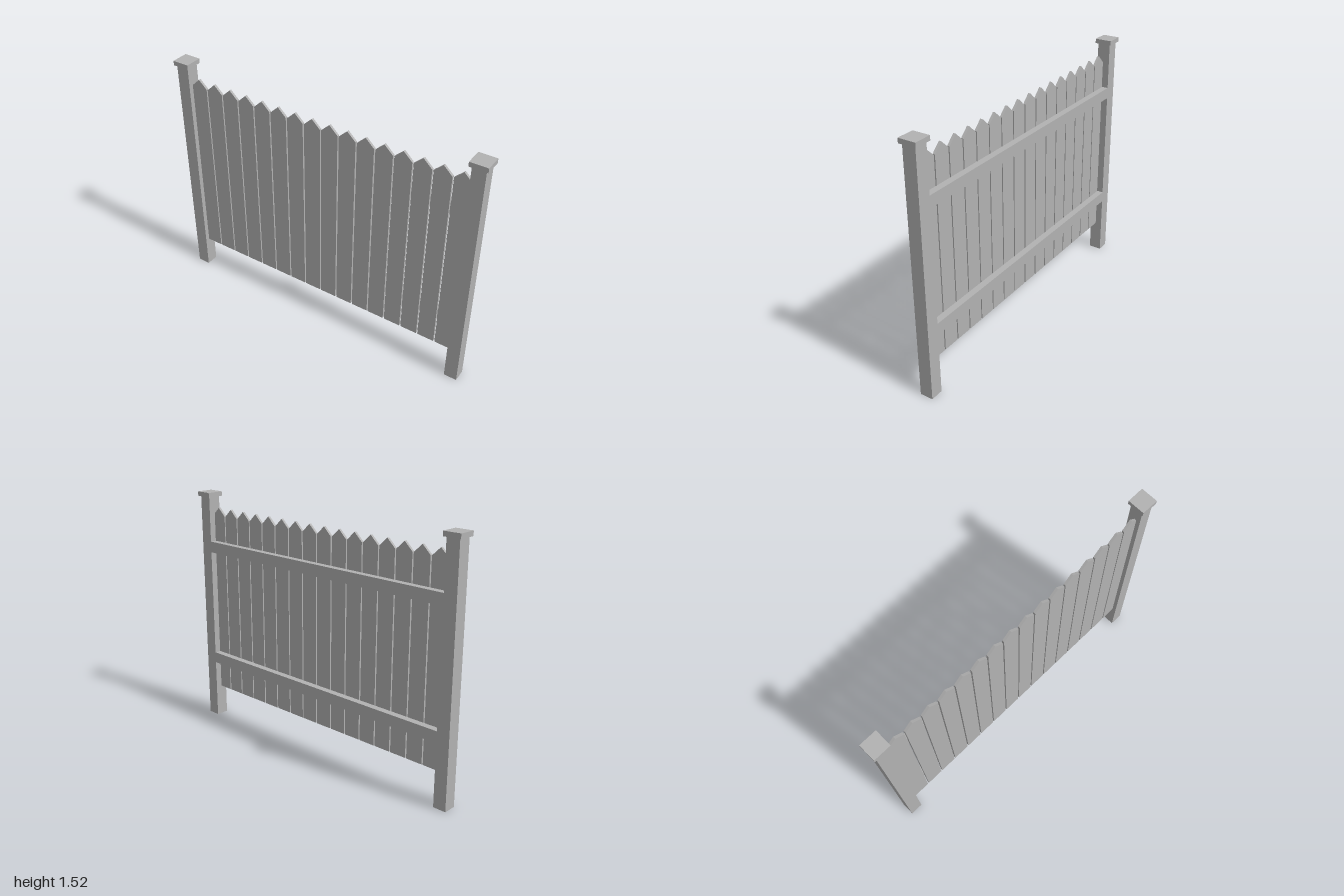
import * as THREE from 'three';

export function createModel() {
  const group = new THREE.Group();
  group.name = 'picketFence';
  const wood = new THREE.MeshStandardMaterial({ color: 0xb2b2b2 });
  wood.name = 'greyWood';

  const add = (name, geometry, x, y, z) => {
    const mesh = new THREE.Mesh(geometry, wood);
    mesh.name = name;
    mesh.position.set(x, y, z);
    group.add(mesh);
  };

  // Square end posts with flat caps
  for (const [side, s] of [['left', 1], ['right', -1]]) {
    add(`${side}Post`, new THREE.BoxGeometry(0.08, 1.49, 0.08), s * 0.947, 0.745, 0);
    add(`${side}PostCap`, new THREE.BoxGeometry(0.106, 0.028, 0.106), s * 0.947, 1.502, 0);
  }

  // Rails behind the pickets, flush with the back of the posts
  const rail = new THREE.BoxGeometry(1.814, 0.07, 0.04);
  add('lowerRail', rail, 0, 0.415, -0.02);
  add('upperRail', rail, 0, 1.168, -0.02);

  // Pointed pickets; the last one tucks into the left post
  const w = 0.053;
  const outline = new THREE.Shape([
    [-w, 0], [w, 0], [w, 1.17], [0, 1.22], [-w, 1.17],
  ].map(([x, y]) => new THREE.Vector2(x, y)));
  const picket = new THREE.ExtrudeGeometry(outline, { depth: 0.015, bevelEnabled: false });
  for (let i = 0; i < 16; i++) {
    add(`picket${i + 1}`, picket, -0.85 + i * 0.1143, 0.2, 0);
  }
  return group;
}
